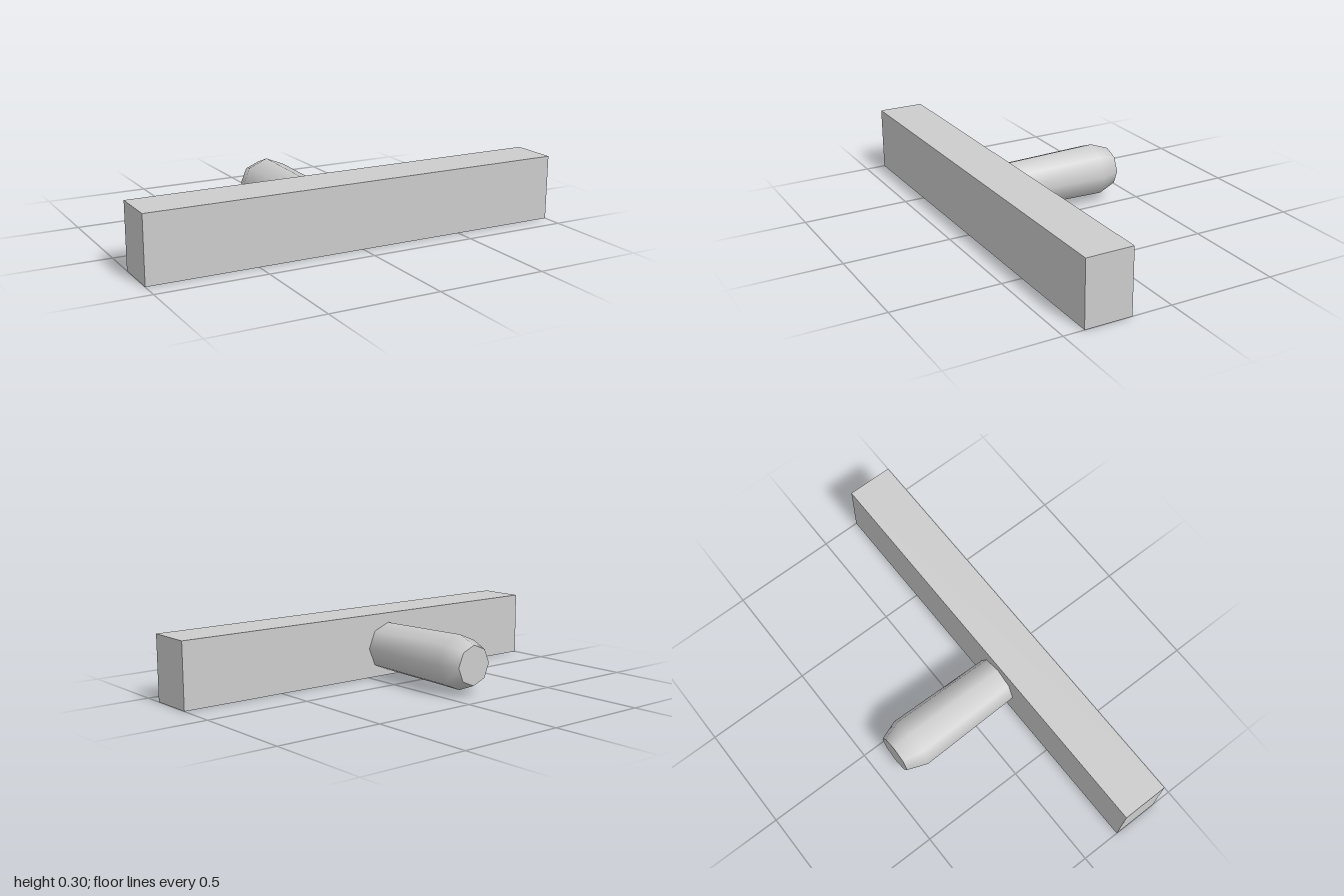
import * as THREE from 'three';

export function createModel() {
  const model = new THREE.Group();
  const grey = new THREE.MeshStandardMaterial({ color: 0xcccccc });
  grey.name = 'light grey';

  const add = (parent, name, geometry, x, y, z) => {
    const mesh = new THREE.Mesh(geometry, grey);
    mesh.name = name;
    mesh.position.set(x, y, z);
    parent.add(mesh);
  };

  // Long rectangular bar
  add(model, 'bar', new THREE.BoxGeometry(2, 0.303, 0.218), 0, 0.1515, 0.296);

  // Eight-sided peg flaring backwards, then tapering to a flat tip
  const sides = 8, tipRadius = 0.0925;
  const peg = new THREE.Group();
  peg.name = 'peg';
  peg.position.set(-0.12, 0.14, 0);
  model.add(peg);

  const profile = [[0.116, -0.19], [0.1275, 0.312], [tipRadius, 0.405]]
    .map(([r, d]) => new THREE.Vector2(r, d));
  add(peg, 'pegShaft', new THREE.LatheGeometry(profile, sides).rotateX(-Math.PI / 2), 0, 0, 0);
  add(peg, 'pegTip', new THREE.CircleGeometry(tipRadius, sides).rotateY(Math.PI), 0, 0, -0.405);

  return model;
}
